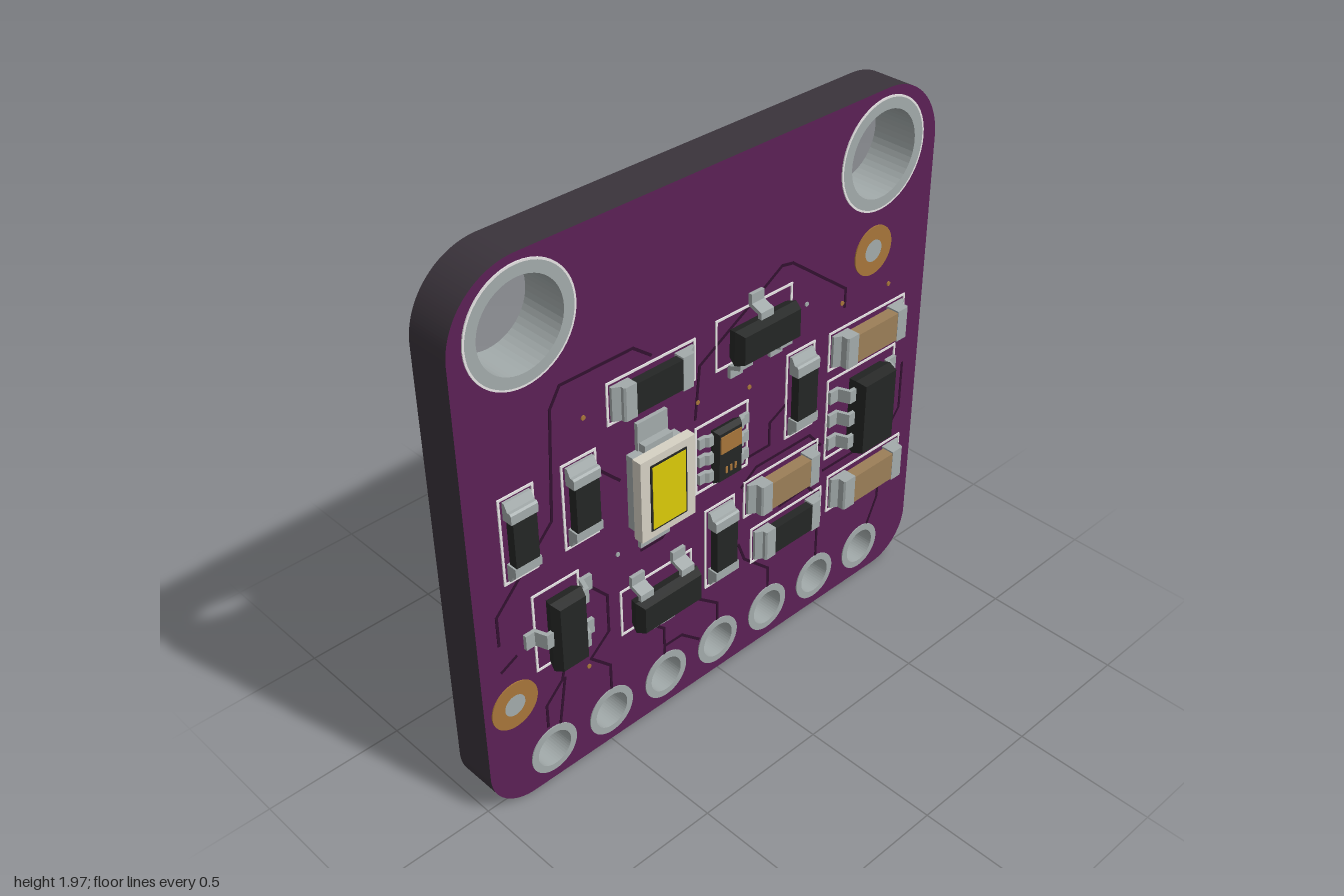
import * as THREE from 'three';
import { mergeGeometries } from 'three/addons/utils/BufferGeometryUtils.js';

const mat = (name, color) => {
  const m = new THREE.MeshStandardMaterial({ color });
  m.name = name;
  return m;
};
const FRONT = 0.035, BACK = -0.125;

export function createModel() {
  const purple = mat('purple mask', 0x5c2056), edge = mat('dark board edge', 0x3a333b);
  const groove = mat('dark trace', 0x32112f), silver = mat('silver', 0xa3abab);
  const white = mat('white print', 0xe6e4e4), black = mat('black plastic', 0x242625);
  const tan = mat('tan ceramic', 0x9c7f58), gold = mat('gold', 0xa8763a);
  const cream = mat('cream housing', 0xd6d1c4), yellow = mat('yellow phosphor', 0xdccb08);

  const model = new THREE.Group();
  model.name = 'sensorBoard';
  const add = (parent, name, geo, material, x = 0, y = 0, z = 0) => {
    const m = new THREE.Mesh(geo, material);
    m.name = name;
    m.position.set(x, y, z);
    parent.add(m);
    return m;
  };
  const group = (name, x, y, angle = 0) => {
    const g = new THREE.Group();
    g.name = name;
    g.position.set(x, y, FRONT);
    g.rotation.z = angle;
    model.add(g);
    return g;
  };
  const box = (w, h, d) => new THREE.BoxGeometry(w, h, d);

  // Side profile (outward, height) extruded across a width
  const prism = (pts, width) => {
    const s = new THREE.Shape(pts.map(p => new THREE.Vector2(...p)));
    const g = new THREE.ExtrudeGeometry(s, { depth: width, bevelEnabled: false });
    return g.translate(0, 0, -width / 2).rotateX(Math.PI / 2);
  };
  // Moulded package, widest at mid height
  const moulded = (w, h, d, inset = 0.012) => {
    const g = new THREE.BoxGeometry(w, h, d, 1, 1, 2).toNonIndexed();
    const p = g.attributes.position;
    for (let i = 0; i < p.count; i++) {
      if (Math.abs(p.getZ(i)) < 1e-5) continue;
      p.setX(i, p.getX(i) - Math.sign(p.getX(i)) * inset);
      p.setY(i, p.getY(i) - Math.sign(p.getY(i)) * inset);
    }
    g.computeVertexNormals();
    return g;
  };
  // Printed rectangle outline
  const outline = (parent, w, h) => {
    const t = 0.008, d = 0.004;
    const bars = [-1, 1].flatMap(s => [
      box(w + t, t, d).translate(0, s * h / 2, d / 2),
      box(t, h - t, d).translate(s * w / 2, 0, d / 2)]);
    add(parent, 'printedOutline', mergeGeometries(bars), white);
  };
  // Gull-wing lead reaching from the body to the board
  const lead = (parent, x, y, angle, reach, width, top) => {
    const t = 0.014, a = reach * 0.35, b = reach * 0.55;
    const m = add(parent, 'lead', prism([[-0.01, top - t], [a - 0.01, top - t], [b - 0.01, 0.002], [reach, 0.002],
      [reach, 0.002 + t], [b, 0.002 + t], [a, top], [-0.01, top]], width), silver, x, y);
    m.rotation.z = angle;
  };

  // Board with drilled holes
  const mounts = [[-0.75, 1.746], [0.738, 1.746]];
  const pins = Array.from({ length: 7 }, (_, i) => [-0.743 + i * 0.2477, 0.131]);
  const H = 1.97, rt = 0.25, rb = 0.17;
  const board = new THREE.Shape();
  board.moveTo(-1 + rb, 0).lineTo(1 - rb, 0);
  board.absarc(1 - rb, rb, rb, -Math.PI / 2, 0);
  board.absarc(1 - rt, H - rt, rt, 0, Math.PI / 2);
  board.absarc(-1 + rt, H - rt, rt, Math.PI / 2, Math.PI);
  board.absarc(-1 + rb, rb, rb, Math.PI, Math.PI * 1.5);
  const drill = ([x, y], r) => board.holes.push(new THREE.Path().absarc(x, y, r, 0, Math.PI * 2, true));
  mounts.forEach(p => drill(p, 0.165));
  pins.forEach(p => drill(p, 0.078));
  add(model, 'board', new THREE.ExtrudeGeometry(board,
    { depth: FRONT - BACK, bevelEnabled: false, curveSegments: 20 }), [purple, edge], 0, 0, BACK);

  // Plated holes
  const ring = (r, R, d) => {
    const s = new THREE.Shape().absarc(0, 0, R, 0, Math.PI * 2);
    s.holes.push(new THREE.Path().absarc(0, 0, r, 0, Math.PI * 2, true));
    return new THREE.ExtrudeGeometry(s, { depth: d, bevelEnabled: false, curveSegments: 24 });
  };
  const depth = FRONT - BACK + 0.008;
  mounts.forEach(([x, y]) => {
    add(model, 'mountingHole', ring(0.152, 0.19, depth), silver, x, y, BACK - 0.004);
    add(model, 'mountingHoleOutline', ring(0.19, 0.197, 0.004), white, x, y, FRONT);
  });
  pins.forEach(([x, y]) => add(model, 'pinHole', ring(0.068, 0.094, depth), silver, x, y, BACK - 0.004));

  // Alignment targets and small vias
  const disc = r => new THREE.CylinderGeometry(r, r, 0.004, 24).rotateX(Math.PI / 2);
  [[0.717, 1.404], [-0.883, 0.42]].forEach(([x, y]) => {
    add(model, 'targetRing', ring(0.04, 0.09, 0.004), gold, x, y, FRONT);
    add(model, 'targetCentre', disc(0.04), silver, x, y, FRONT + 0.002);
  });
  [[-0.55, 1.345], [-0.09, 1.18], [0.14, 1.13], [0.575, 1.26], [0.81, 1.24], [-0.58, 0.385]]
    .forEach(([x, y]) => add(model, 'via', disc(0.008), gold, x, y, FRONT + 0.002));
  [[-0.44, 0.77], [0.4, 1.33]].forEach(([x, y]) => add(model, 'via', disc(0.008), silver, x, y, FRONT + 0.002));

  // Traces as thin strips
  const traces = (name, paths, z) => {
    const strips = [];
    for (const path of paths) for (let i = 1; i < path.length; i++) {
      const [ax, ay] = path[i - 1], [bx, by] = path[i];
      strips.push(box(Math.hypot(bx - ax, by - ay) + 0.006, 0.01, 0.003)
        .rotateZ(Math.atan2(by - ay, bx - ax)).translate((ax + bx) / 2, (ay + by) / 2, z));
    }
    add(model, name, mergeGeometries(strips), groove);
  };
  traces('frontTraces', [
    [[-0.28, 1.44], [-0.35, 1.495], [-0.63, 1.495], [-0.67, 1.43], [-0.69, 1.04], [-0.92, 0.8], [-0.92, 0.69]],
    [[-0.1, 1.12], [-0.08, 1.31], [0.18, 1.46], [0.28, 1.52], [0.33, 1.51], [0.59, 1.31], [0.59, 1.24]],
    [[-0.67, 0.49], [-0.69, 0.4], [-0.76, 0.33], [-0.76, 0.24]],
    [[-0.68, 0.4], [-0.71, 0.22]],
    [[-0.56, 0.71], [-0.49, 0.63], [-0.49, 0.48], [-0.57, 0.41], [-0.49, 0.33], [-0.49, 0.22]],
    [[-0.33, 0.41], [-0.25, 0.34], [-0.25, 0.22]],
    [[-0.25, 0.26], [-0.17, 0.26], [-0.09, 0.19]],
    [[-0.1, 0.48], [-0.1, 0.38], [0, 0.3], [0, 0.22]],
    [[0.1, 0.5], [0.13, 0.42], [0.25, 0.31], [0.25, 0.22]],
    [[0.5, 0.4], [0.5, 0.22]],
    [[0.83, 0.41], [0.83, 0.32], [0.78, 0.21]],
    [[-0.34, 0.73], [-0.25, 0.73], [-0.1, 0.85]],
    [[0.13, 0.85], [0.24, 0.85], [0.24, 0.94], [0.32, 0.98]],
    [[0.11, 0.74], [0.18, 0.79], [0.44, 0.79], [0.5, 0.72]],
    [[0.52, 0.6], [0.86, 0.6], [0.92, 0.68], [0.92, 0.87]],
    [[-0.92, 0.58], [-0.86, 0.61]],
    [[-0.51, 1.14], [-0.42, 1.05]],
    [[0.3, 0.56], [0.44, 0.57], [0.48, 0.52]],
  ], FRONT + 0.0005);
  const backTraces = [
    [[0.437, 1.368], [0.307, 1.258], [0.307, 0.48], [0.5, 0.23]],
    [[0.307, 1.258], [0.253, 1.225], [0.253, 0.48], [0.46, 0.22]],
    [[0.07, 1.17], [0.07, 0.44], [0.253, 0.21]],
    [[-0.46, 1.345], [-0.46, 0.685], [0, 0.22]],
    [[-0.46, 0.62], [-0.05, 0.21]],
    [[-0.582, 1.281], [-0.582, 0.552], [-0.27, 0.23]],
    [[-0.667, 0.783], [-0.667, 0.45], [-0.5, 0.23]],
  ];
  traces('backTraces', backTraces, BACK - 0.0005);
  [0, 2, 3, 5].forEach(i => add(model, 'backVia', disc(0.012), groove, ...backTraces[i][0], BACK - 0.001));

  // Two-terminal chips: [x, y, outline length, outline width, upright, material, height]
  const chip = (name, x, y, L, W, upright, material, h) => {
    const g = group(name, x, y, upright ? Math.PI / 2 : 0);
    outline(g, L, W);
    const half = L / 2 - 0.01, w = W - 0.025, inner = L * 0.265;
    add(g, 'chipBody', box(inner * 2 + 0.02, w - 0.012, h - 0.01), material, 0, 0, h / 2 + 0.004);
    for (const s of [0, Math.PI]) {
      add(g, 'terminal', prism([[inner, 0.002], [half, 0.002], [half, 0.012], [half - 0.025, 0.025],
        [half - 0.025, h - 0.006], [half - 0.031, h], [inner, h]], w), silver).rotation.z = s;
    }
  };
  [[-0.28, 1.345, 0.355, 0.145, false], [-0.815, 1.06, 0.31, 0.125, true], [-0.578, 1.06, 0.31, 0.13, true],
    [0.38, 1.005, 0.33, 0.13, true], [0.008, 0.567, 0.325, 0.132, true], [0.335, 0.46, 0.35, 0.145, false]]
    .forEach(c => chip('resistor', ...c, black, 0.042));
  [[0.71, 1.09, 0.378, 0.145], [0.302, 0.68, 0.358, 0.145], [0.738, 0.48, 0.385, 0.15]]
    .forEach(c => chip('capacitor', ...c, false, tan, 0.055));

  // Three-lead transistors
  [[0.158, 1.348, 0, 0.335], [-0.28, 0.519, Math.PI, 0.31], [-0.695, 0.65, Math.PI / 2, 0.3]].forEach(([x, y, a, L]) => {
    const g = group('transistor', x, y, a);
    outline(g, L, 0.18);
    add(g, 'package', moulded(0.272, 0.125, 0.068), black, 0, 0, 0.051);
    lead(g, 0, 0.06, Math.PI / 2, 0.075, 0.056, 0.058);
    for (const s of [-1, 1]) lead(g, s * 0.09, -0.06, -Math.PI / 2, 0.075, 0.056, 0.058);
  });

  // Six-lead packages
  const sixLead = (g, w, h, d, z, pitch, reach, lw, top) => {
    add(g, 'package', moulded(w, h, d, 0.01), black, 0, 0, z);
    for (const r of [-1, 0, 1]) {
      lead(g, w / 2, r * pitch, 0, reach, lw, top);
      lead(g, -w / 2, r * pitch, Math.PI, reach, lw, top);
    }
  };
  const regulator = group('regulator', 0.695, 0.81);
  outline(regulator, 0.345, 0.325);
  sixLead(regulator, 0.175, 0.3, 0.078, 0.055, 0.096, 0.083, 0.05, 0.058);

  const sensor = group('sensorChip', 0.016, 0.954);
  outline(sensor, 0.232, 0.256);
  sixLead(sensor, 0.12, 0.205, 0.04, 0.024, 0.07, 0.052, 0.038, 0.026);
  add(sensor, 'sensorWindow', box(0.092, 0.065, 0.004), gold, 0, 0.048, 0.0455);
  for (const i of [-1, 0, 1]) add(sensor, 'contactMark', box(0.008, 0.024, 0.004), gold, i * 0.02, -0.056, 0.0455);

  // Light emitter
  const lamp = group('lamp', -0.292, 0.992);
  for (const s of [-1, 1]) {
    add(lamp, 'solderPad', box(0.125, 0.1, 0.014), silver, 0, s * 0.19, 0.008);
    add(lamp, 'terminal', box(0.115, 0.035, 0.04), silver, 0, s * 0.152, 0.022);
  }
  add(lamp, 'base', box(0.2, 0.28, 0.045), silver, 0, 0, 0.025);
  add(lamp, 'housing', box(0.228, 0.305, 0.036), cream, 0, 0, 0.064);
  add(lamp, 'lensRim', box(0.152, 0.25, 0.004), black, 0, 0, 0.083);
  add(lamp, 'lens', box(0.138, 0.236, 0.004), yellow, 0, 0, 0.085);

  return model;
}
